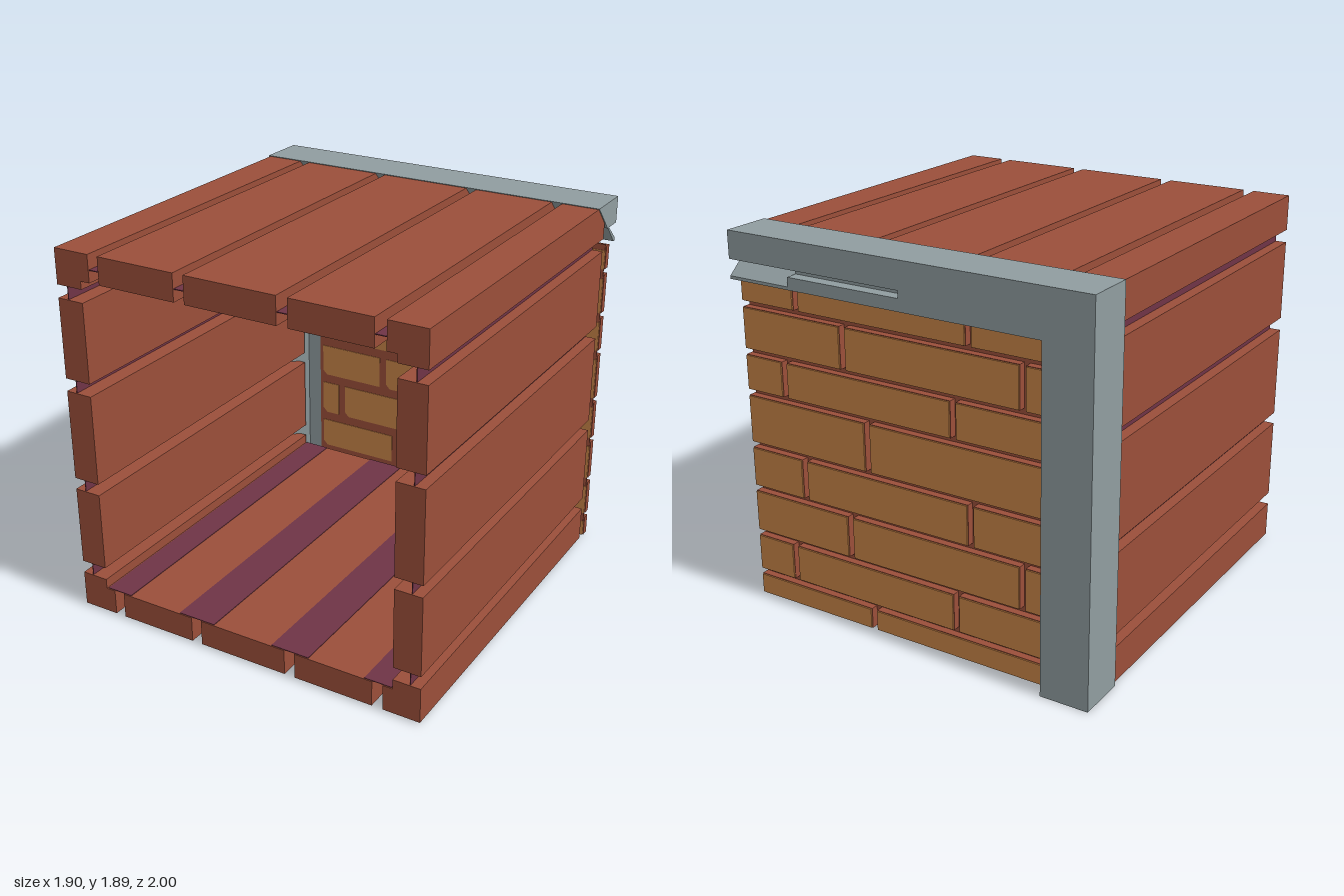
import * as THREE from 'three';

const mat = (name, color, side = THREE.FrontSide) => {
  const m = new THREE.MeshStandardMaterial({ color, side });
  m.name = name;
  return m;
};

export function createModel() {
  const model = new THREE.Group();
  model.name = 'plankCrate';
  const wood = mat('redBrownWood', 0x9b4f3a);
  const purple = mat('purpleLining', 0x6f3446, THREE.DoubleSide);
  const grey = mat('greyMetal', 0x909da0);
  const orange = mat('orangeBrick', 0xc98548);

  const add = (name, geometry, material, parent) => {
    const mesh = new THREE.Mesh(geometry, material);
    mesh.name = name;
    parent.add(mesh);
    return mesh;
  };
  const group = (name) => {
    const g = new THREE.Group();
    g.name = name;
    model.add(g);
    return g;
  };
  // Box given by its minimum and maximum on each axis
  const box = (name, x0, x1, y0, y1, z0, z1, material, parent) =>
    add(name, new THREE.BoxGeometry(x1 - x0, y1 - y0, z1 - z0), material, parent)
      .position.set((x0 + x1) / 2, (y0 + y1) / 2, (z0 + z1) / 2);
  const extrude = (points, depth) => new THREE.ExtrudeGeometry(
    new THREE.Shape(points.map(([a, b]) => new THREE.Vector2(a, b))),
    { depth, bevelEnabled: false });

  const BACK = -0.85, FRONT = 1;

  // Side walls: planks with open gaps and a thin lining set inside each gap
  const sideRows = [[0.01, 0.19], [0.255, 0.66], [0.72, 1.18], [1.245, 1.645], [1.71, 1.885]];
  for (const s of [-1, 1]) {
    const wall = group(s > 0 ? 'leftWall' : 'rightWall');
    const c = s * 0.875;
    sideRows.forEach(([y0, y1], i) => {
      box('sidePlank', c - 0.07, c + 0.07, y0, y1, BACK, FRONT, wood, wall);
      if (i > 0) {
        box('sideLining', s * 0.89 - 0.002, s * 0.89 + 0.002, sideRows[i - 1][1], y0,
          BACK, FRONT - 0.005, purple, wall);
      }
    });
  }

  // Roof and floor planks
  const columns = [[-0.805, -0.755], [-0.7, -0.29], [-0.235, 0.235], [0.29, 0.7], [0.755, 0.805]];
  const roof = group('roof'), floor = group('floor');
  columns.forEach(([x0, x1], i) => {
    box('roofPlank', x0, x1, 1.75, 1.885, BACK, FRONT, wood, roof);
    box('floorPlank', x0, x1, 0.01, 0.14, BACK, FRONT, wood, floor);
    if (i > 0) {
      const g0 = columns[i - 1][1];
      box('roofLining', g0, x0, 1.808, 1.812, BACK, FRONT - 0.005, purple, roof);
      const c = (g0 + x0) / 2, w = Math.abs(c) > 0.5 ? 0.07 : 0.1;
      box('floorLining', c - w, c + w, 0.14, 0.143, BACK, FRONT - 0.005, purple, floor);
    }
  });

  // Brick wall: thin backing sheet, raised blocks and coloured faces on both sides
  const bricks = group('brickWall');
  box('backingSheet', -0.72, 0.945, 0.01, 1.67, -0.893, -0.887, wood, bricks);
  const rowEdges = [1.675, 1.525, 1.29, 1.085, 0.815, 0.585, 0.345, 0.13, -0.005];
  const joints = [[-0.31, 0.63], [-0.58, 0.37], [-0.225, 0.72], [0.25]];
  for (let r = 0; r < 8; r++) {
    const y1 = rowEdges[r] - 0.015, y0 = rowEdges[r + 1] + 0.015;
    const edges = [-0.725, ...joints[r % 4], 0.965];
    for (let i = 0; i + 1 < edges.length; i++) {
      const x0 = edges[i] + 0.015, x1 = edges[i + 1] - 0.015;
      box('brickBlock', x0, x1, y0, y1, -0.93, -0.892, wood, bricks);
      box('brickBackFace', x0 + 0.003, x1 - 0.003, y0 + 0.003, y1 - 0.003,
        -0.937, -0.929, orange, bricks);
      // Front faces have small clipped corners on the lower side
      const l = x0 + 0.01, e = x1 - 0.003, b = y0, t = y1 - 0.022, k = 0.025;
      const face = extrude([[l + k, b], [e, b], [e, t], [l, t], [l, b + k]], 0.004);
      add('brickFrontFace', face, orange, bricks).position.z = -0.888;
    }
  }

  // Metal corner frame: chamfered post on one side and chamfered beam on top
  const frame = group('metalFrame');
  const post = extrude([[-0.953, 1], [-0.71, 1], [-0.71, 0.89], [-0.8, 0.89], [-0.953, 0.75]], 1.885);
  add('framePost', post.rotateX(-Math.PI / 2), grey, frame);
  // Beam pieces: cross-section as [depth backwards, height], from x0 to x1
  const beam = (name, points, x0, x1) => {
    const mesh = add(name, extrude(points, x1 - x0).rotateY(Math.PI / 2), grey, frame);
    mesh.position.x = x0;
  };
  beam('beamTop', [[1, 1.755], [1, 1.89], [0.75, 1.89], [0.885, 1.755]], -0.953, 0.95);
  beam('beamLip', [[1, 1.66], [1, 1.755], [0.89, 1.755], [0.89, 1.66]], -0.953, 0);
  // Slotted part of the lip
  beam('slottedLip', [[1, 1.66], [1, 1.72], [0.94, 1.72], [0.94, 1.755], [0.89, 1.755], [0.89, 1.66]], 0, 0.61);
  // Bent tab closing the end of the beam
  beam('bentTab', [[1, 1.66], [1, 1.675], [0.905, 1.755], [0.89, 1.755], [0.985, 1.66]], 0.61, 0.95);

  return model;
}
